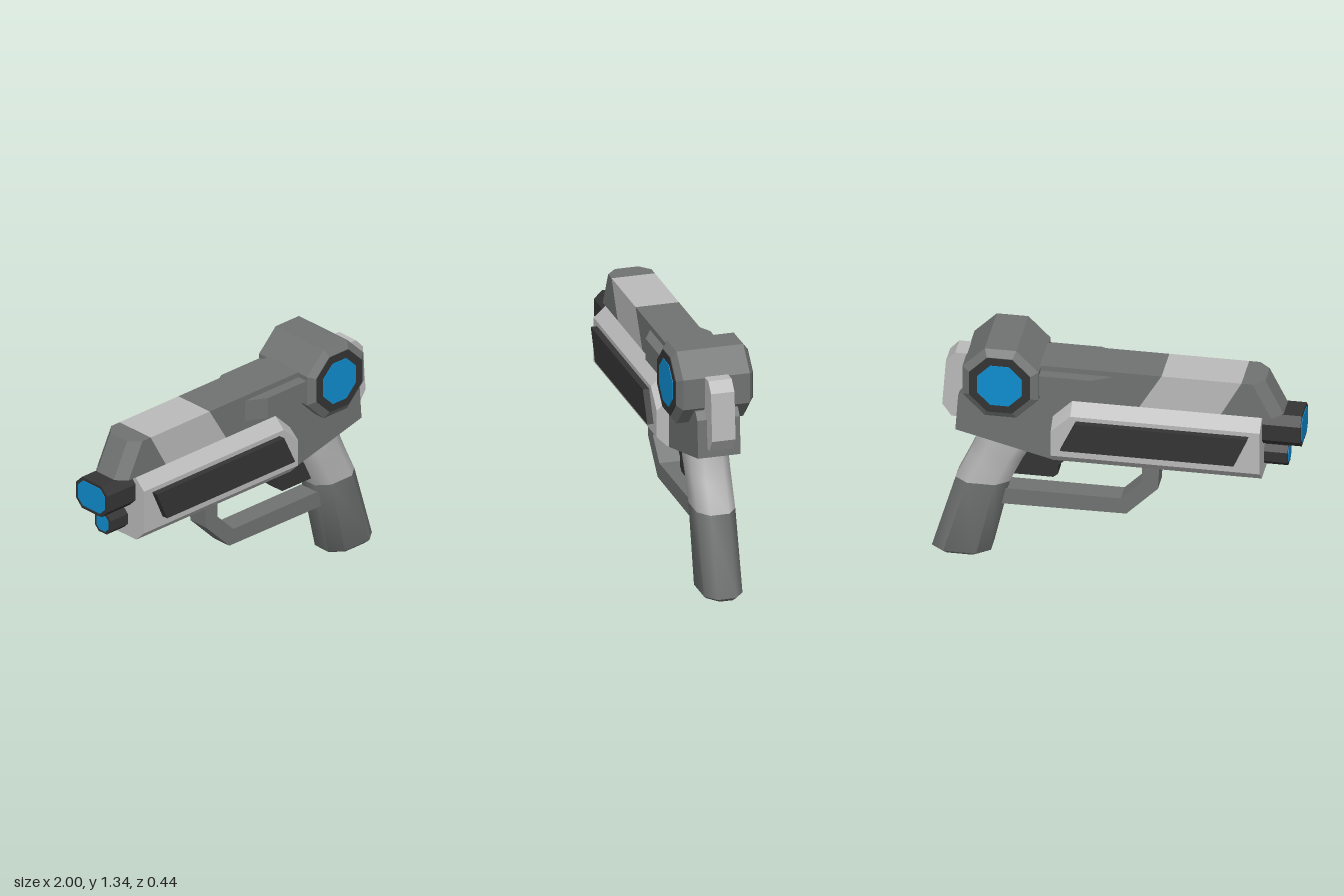
import * as THREE from 'three';
import { toCreasedNormals } from 'three/addons/utils/BufferGeometryUtils.js';

const material = (name, color) => {
  const m = new THREE.MeshStandardMaterial({ color });
  m.name = name;
  return m;
};

// Joins rings of [x, y, z] points with flat faces and closes both ends
function loft(rings) {
  const pos = [];
  const tri = (a, b, c) => pos.push(...a, ...b, ...c);
  const n = rings[0].length;
  for (let i = 0; i < rings.length - 1; i++) {
    for (let j = 0; j < n; j++) {
      const k = (j + 1) % n, r = rings[i], s = rings[i + 1];
      tri(r[j], s[j], s[k]);
      tri(r[j], s[k], r[k]);
    }
  }
  const first = rings[0], last = rings[rings.length - 1];
  for (let j = 1; j < n - 1; j++) {
    tri(first[0], first[j], first[j + 1]);
    tri(last[0], last[j + 1], last[j]);
  }
  const g = new THREE.BufferGeometry();
  g.setAttribute('position', new THREE.Float32BufferAttribute(pos, 3));
  g.computeVertexNormals();
  return g;
}

// Symmetric ring across the gun: half is a list of [y, z] from bottom to top
const crossRing = (x, half) => [
  ...half.map(([y, z]) => [x, y, z]),
  ...half.slice().reverse().map(([y, z]) => [x, y, -z]),
];

// Chamfered rectangle as a half section
const chamferHalf = (y0, y1, z, c) => [[y0, z - c], [y0 + c, z], [y1 - c, z], [y1, z - c]];

// Side profile extruded from z0 to z1
function sidePlate(points, z0, z1) {
  const shape = new THREE.Shape(points.map(([x, y]) => new THREE.Vector2(x, y)));
  const g = new THREE.ExtrudeGeometry(shape, { depth: z1 - z0, bevelEnabled: false });
  return g.translate(0, 0, z0);
}

export function createModel() {
  const group = new THREE.Group();
  const gray = material('frame gray', 0x707372);
  const light = material('light gray', 0xbababa);
  const dark = material('dark gray', 0x343434);
  const blue = material('glow blue', 0x0f8dd0);

  const add = (name, geometry, mat) => {
    const mesh = new THREE.Mesh(geometry, mat);
    mesh.name = name;
    group.add(mesh);
    return mesh;
  };

  // Slide, with a chamfered nose and a slanted light band
  const slideRing = (top, bottom, z) =>
    [[bottom, 1.02, z], [top, 1.22, z], [top, 1.22, -z], [bottom, 1.02, -z]];
  const bandFront = slideRing(-0.68, -0.57, 0.12), bandRear = slideRing(-0.25, -0.13, 0.12);
  add('slideNose', loft([slideRing(-0.8, -0.9, 0.065), slideRing(-0.74, -0.84, 0.12), bandFront]), gray);
  add('slideBand', loft([bandFront, bandRear]), light);
  add('slideRear', loft([bandRear, slideRing(0.55, 0.55, 0.12)]), gray);

  // Wedge fins on both sides of the slide
  const fin = (x, z) => [[x, 1.07, z], [x, 1.19, z], [x, 1.19, -z], [x, 1.07, -z]];
  add('slideFins', loft([fin(0.0, 0.115), fin(0.12, 0.18), fin(0.45, 0.18)]), gray);

  // Frame
  add('frame', sidePlate([
    [-0.785, 0.647], [0.335, 0.647], [0.86, 0.78], [0.845, 0.99], [0.81, 1.03],
    [0.2, 1.03], [0.2, 0.9], [-0.785, 0.9],
  ], -0.118, 0.118), gray);

  // Light lower shell with its rear top corner cut off
  const shellSection = [[0.65, 0.125], [0.71, 0.185], [0.96, 0.185], [1.02, 0.12]];
  const shellEnd = [[0.65, 0.125], [0.71, 0.185], [0.86, 0.185], [0.915, 0.12]];
  add('shell', loft([
    crossRing(-0.79, shellSection), crossRing(0.23, shellSection), crossRing(0.335, shellEnd),
  ]), light);

  // Side panels
  const panel = [[-0.655, 0.765], [0.28, 0.765], [0.2, 0.935], [-0.73, 0.935]];
  add('leftPanel', sidePlate(panel, 0.18, 0.22), dark);
  add('rightPanel', sidePlate(panel, -0.22, -0.18), dark);

  // Two barrels with glowing ends
  const barrel = (name, x, y0, y1, z, c, inset) => {
    const half = chamferHalf(y0, y1, z, c);
    add(name, loft([crossRing(x, half), crossRing(-0.75, half)]), dark);
    const face = chamferHalf(y0 + inset, y1 - inset, z - inset, c * 0.8);
    add(name + 'Glow', loft([crossRing(x - 0.003, face), crossRing(x + 0.002, face)]), blue);
  };
  barrel('upperBarrel', -0.997, 0.84, 1.025, 0.12, 0.045, 0.018);
  barrel('lowerBarrel', -0.917, 0.69, 0.81, 0.06, 0.03, 0.014);

  // Octagonal power drum across the rear
  const octagon = (apothem, z) => Array.from({ length: 8 }, (_, i) => {
    const a = Math.PI / 8 - i * Math.PI / 4, r = apothem / Math.cos(Math.PI / 8);
    return [0.605 + r * Math.cos(a), 1.13 + r * Math.sin(a), z];
  });
  add('drum', loft([
    octagon(0.166, -0.212), octagon(0.205, -0.185), octagon(0.205, 0.185), octagon(0.166, 0.212),
  ]), gray);
  add('drumRims', loft([octagon(0.164, -0.216), octagon(0.164, 0.216)]), dark);
  add('drumLenses', loft([octagon(0.12, -0.219), octagon(0.12, 0.219)]), blue);

  // Rear hammer block
  add('hammer', sidePlate([
    [0.78, 0.83], [0.89, 0.83], [0.94, 0.9], [0.92, 1.165], [0.87, 1.22], [0.78, 1.22],
  ], -0.065, 0.065), light);

  // Trigger and guard
  add('trigger', sidePlate([
    [0.29, 0.68], [0.29, 0.6], [0.32, 0.575], [0.32, 0.52], [0.345, 0.5], [0.56, 0.5], [0.52, 0.68],
  ], -0.05, 0.05), dark);
  add('triggerGuard', sidePlate([
    [-0.23, 0.66], [-0.22, 0.49], [-0.05, 0.32], [0.64, 0.315], [0.64, 0.41],
    [-0.02, 0.41], [-0.135, 0.525], [-0.135, 0.66],
  ], -0.06, 0.06), gray);

  // Grip: chamfered rings from x0 to x1, smooth around the sides
  const gripRing = (y, x0, x1, z = 0.107, lean = 0) => {
    const c = 0.07, d = 0.055;
    return [
      [x1, z - d], [x1 - c, z], [x0 + c, z], [x0, z - d],
      [x0, d - z], [x0 + c, -z], [x1 - c, -z], [x1, d - z],
    ].map(([x, w]) => [x, y + lean * (x - x0), w]);
  };
  // Rings are listed clockwise from below so faces point outward
  const grip = (name, rings, mat) =>
    add(name, toCreasedNormals(loft(rings.map((r) => r.slice().reverse()).reverse()), 0.95), mat);
  grip('gripUpper', [
    gripRing(0.45, 0.58, 0.87), gripRing(0.6, 0.51, 0.8),
    gripRing(0.68, 0.465, 0.765), gripRing(0.69, 0.46, 0.75, 0.107, 0.24),
  ], light);
  grip('gripLower', [
    gripRing(0, 0.7, 0.98, 0.09), gripRing(0.018, 0.68, 0.998), gripRing(0.45, 0.58, 0.87),
  ], gray);

  return group;
}
